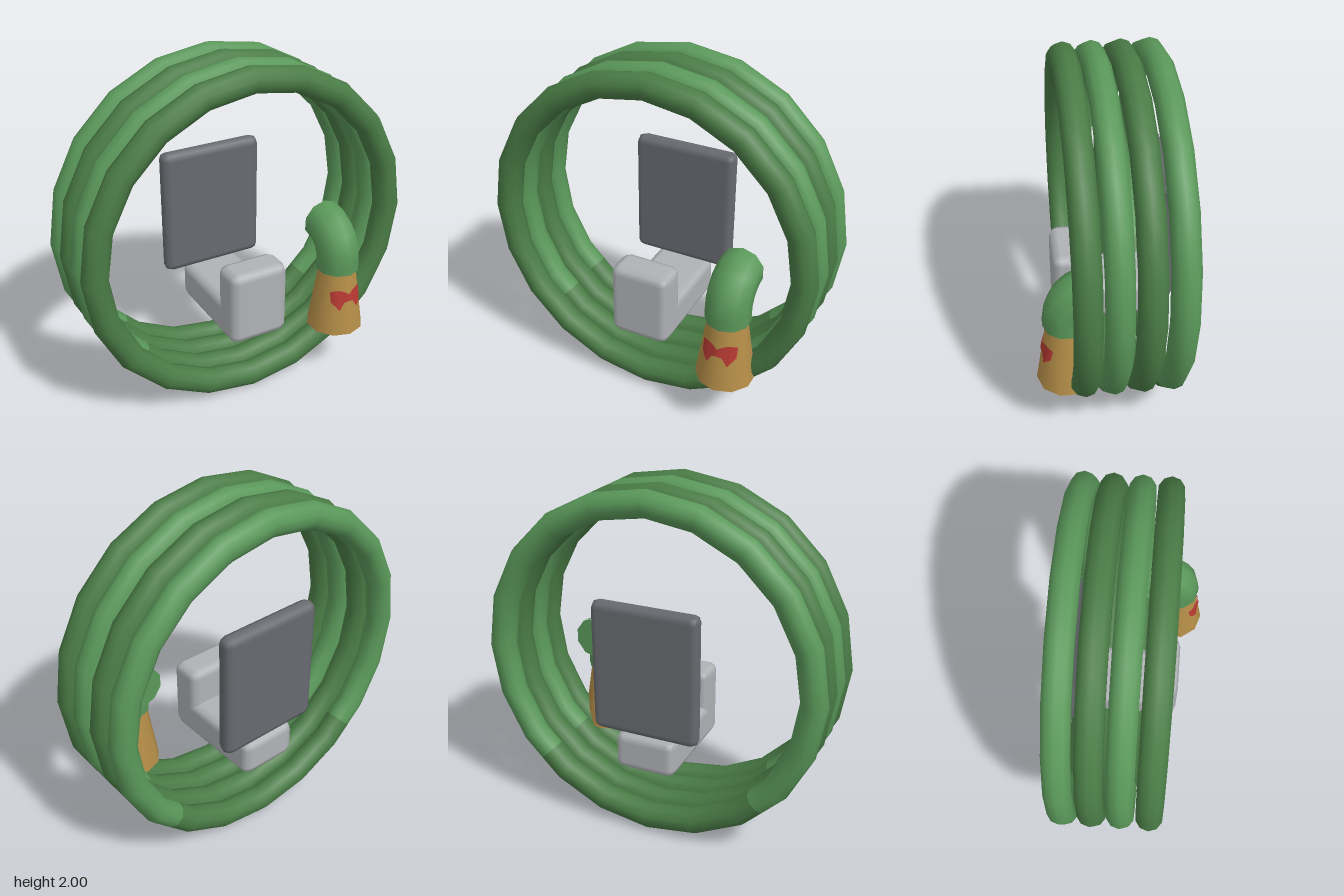
import * as THREE from 'three';
import { RoundedBoxGeometry } from 'three/addons/geometries/RoundedBoxGeometry.js';

const mat = (name, color, side = THREE.FrontSide) => {
  const m = new THREE.MeshStandardMaterial({ color, side });
  m.name = name;
  return m;
};

export function createModel() {
  const darkGreen = mat('dark green', 0x4a7c46);
  const lightGreen = mat('light green', 0x5a985a);
  const slate = mat('slate grey', 0x686a70);
  const silver = mat('light grey', 0xb0b2b6);
  const brass = mat('brass', 0xb58e48);
  const red = mat('red', 0xb63a32, THREE.DoubleSide);

  const model = new THREE.Group();
  const add = (name, geometry, material, x = 0, y = 0, z = 0, parent = model) => {
    const mesh = new THREE.Mesh(geometry, material);
    mesh.name = name;
    mesh.position.set(x, y, z);
    parent.add(mesh);
    return mesh;
  };

  // Hose coils: 20-sided rings, each as an upper and a lower arc meeting mid-side
  const R = 0.925, r = 0.075, step = Math.PI / 20;
  const arc = (start, count) => {
    const g = new THREE.TorusGeometry(R, r, 10, count, count * step);
    const p = g.attributes.position;
    for (let k = 0; k < p.count; k++) {
      // even rings are the middles of straight sides
      if ((k % (count + 1)) % 2 === 0) {
        p.setXY(k, p.getX(k) * Math.cos(step), p.getY(k) * Math.cos(step));
      }
    }
    return g.rotateZ(start * step);
  };
  [0.15, -0.006, -0.165, -0.325].forEach((z, i) => {
    const coil = new THREE.Group();
    coil.name = 'hoseCoil' + (i + 1);
    coil.position.set(0, 1, z);
    model.add(coil);
    add('coilUpperArc', arc(-5, 30), i % 2 ? lightGreen : darkGreen, 0, 0, 0, coil);
    add('coilLowerArc', arc(25, 10), darkGreen, 0, 0, 0, coil);
  });

  // Wall bracket: back plate, arm and front lip with chamfered edges
  add('backPlate', new RoundedBoxGeometry(0.63, 0.765, 0.1, 1, 0.045), slate, 0, 1.003, -0.352);
  add('bracketArm', new RoundedBoxGeometry(0.36, 0.225, 0.67, 1, 0.05), silver, 0, 0.508, -0.067);
  add('bracketLip', new RoundedBoxGeometry(0.36, 0.45, 0.2, 1, 0.05), silver, 0, 0.62, 0.169);

  // Nozzle hanging at the front
  const nozzle = new THREE.Group();
  nozzle.name = 'nozzle';
  nozzle.position.set(0.54, 0, 0.232);
  model.add(nozzle);
  const topR = 0.112, botR = 0.17, botY = 0.325, coneH = 0.385;
  add('nozzleCone', new THREE.CylinderGeometry(topR, botR, coneH, 10), brass,
    0, botY + coneH / 2, 0, nozzle);

  // Hose end: short upright, then a quarter bend to the back
  const bend = 0.172, bendY = 0.77, sides = 10;
  const path = new THREE.CurvePath();
  path.add(new THREE.LineCurve3(new THREE.Vector3(0, 0.71, 0), new THREE.Vector3(0, bendY, 0)));
  const points = [];
  for (let i = 0; i <= 16; i++) {
    const a = (i / 16) * Math.PI / 2;
    points.push(new THREE.Vector3(0, bendY + bend * Math.sin(a), -bend + bend * Math.cos(a)));
  }
  path.add(new THREE.CatmullRomCurve3(points));
  add('hoseElbow', new THREE.TubeGeometry(path, 6, 0.128, sides), lightGreen, 0, 0, 0, nozzle);
  const rim = new THREE.CircleGeometry(0.128, sides, Math.PI / 2);
  add('elbowBottom', rim.clone().rotateX(Math.PI / 2), lightGreen, 0, 0.71, 0, nozzle);
  add('elbowEnd', rim.clone().rotateY(Math.PI), lightGreen, 0, bendY + bend, -bend, nozzle);

  // Bow on the cone: columns of [x, top, bottom] laid on the cone's sides
  const half = [[0.1, 0.6, 0.535], [0.082, 0.612, 0.515], [0.06, 0.615, 0.485], [0.03, 0.605, 0.535]];
  const columns = [...half.map(([x, t, b]) => [-x, t, b]), [0, 0.588, 0.545], ...half.slice().reverse()];
  const verts = [], index = [];
  columns.forEach(([x, top, bottom], i) => {
    for (const y of [top, bottom]) {
      const rad = botR + (topR - botR) * (y - botY) / coneH + 0.006;
      const ax = Math.abs(x), foldX = rad * Math.sin(Math.PI / 5);
      const foldZ = rad * Math.cos(Math.PI / 5);
      const z = ax < foldX
        ? rad - ax * Math.tan(Math.PI / 10)
        : foldZ - (ax - foldX) * Math.tan(0.3 * Math.PI);
      verts.push(x, y, z);
    }
    if (i) {
      const n = 2 * i;
      index.push(n - 2, n - 1, n, n, n - 1, n + 1);
    }
  });
  const bow = new THREE.BufferGeometry();
  bow.setAttribute('position', new THREE.Float32BufferAttribute(verts, 3));
  bow.setIndex(index);
  bow.computeVertexNormals();
  add('bow', bow, red, 0, 0, 0, nozzle);

  return model;
}
